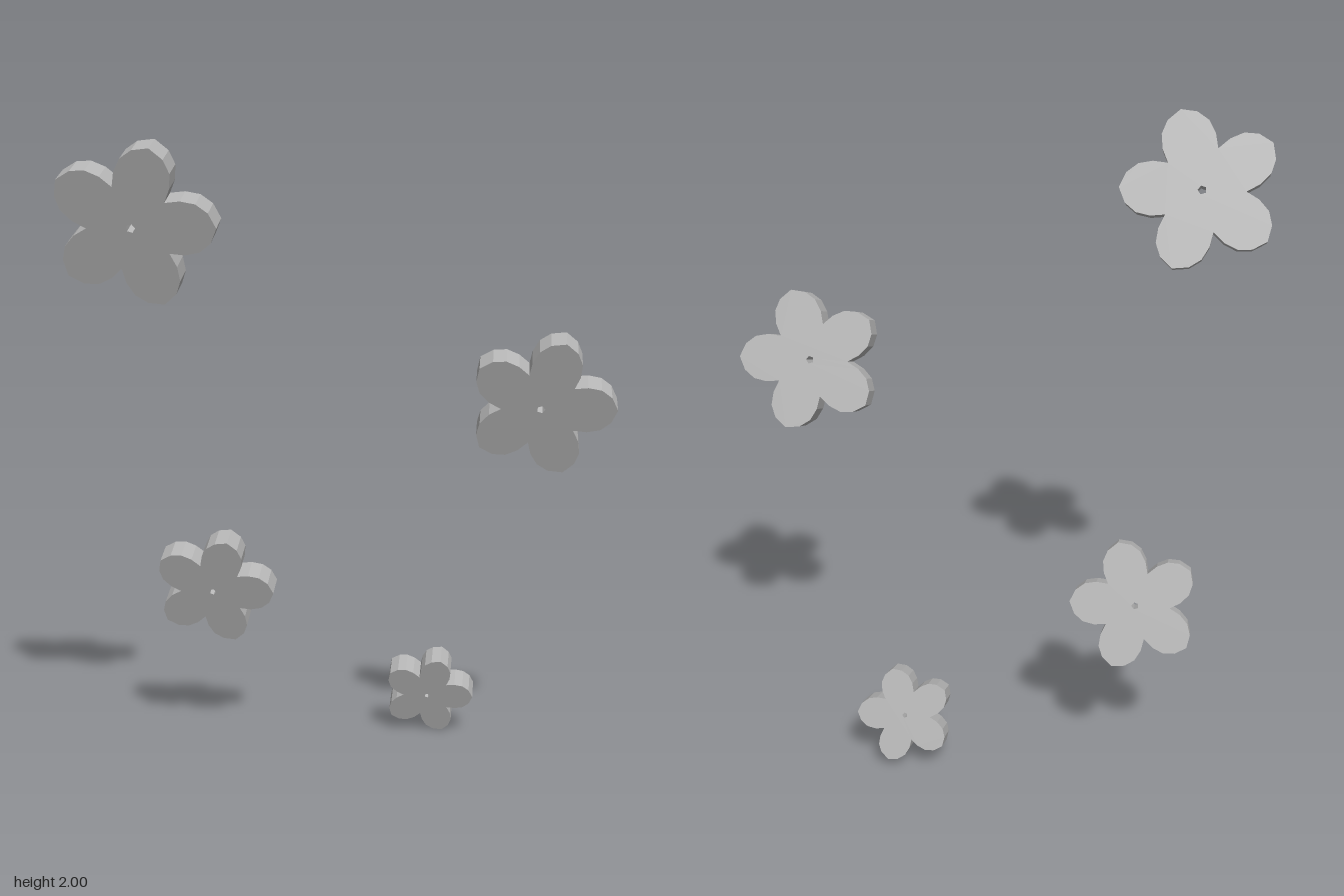
import * as THREE from 'three';

const THICKNESS = 0.085;
const TILT = THREE.MathUtils.degToRad(19.8);

// Outline of one petal pointing along +x: distance along, distance across
const PETAL = [
  [0.109, -0.079], [0.155, -0.084], [0.2, -0.075], [0.235, -0.047], [0.256, 0],
  [0.235, 0.047], [0.2, 0.075], [0.155, 0.084],
];

// Five petals round a tiny centre hole, front face on z = 0
function flowerGeometry(size) {
  const outline = [];
  const hole = [];
  for (let i = 0; i < 5; i++) {
    const a = (i * Math.PI * 2) / 5;
    for (const [u, v] of PETAL) {
      outline.push(new THREE.Vector2(u, v).multiplyScalar(size).rotateAround(new THREE.Vector2(), a));
    }
    hole.push(new THREE.Vector2(Math.cos(a), Math.sin(a)).multiplyScalar(0.014 * size));
  }
  const shape = new THREE.Shape(outline);
  shape.holes.push(new THREE.Path(hole.reverse()));
  const geometry = new THREE.ExtrudeGeometry(shape, { depth: THICKNESS, bevelEnabled: false });
  geometry.translate(0, 0, -THICKNESS);
  return geometry;
}

export function createModel() {
  const model = new THREE.Group();
  model.name = 'flowers';
  const grey = new THREE.MeshStandardMaterial({ color: 0xb4b4b4, flatShading: true });
  grey.name = 'grey';

  // name, size, centre of the front face
  const flowers = [
    ['largestFlower', 1.0, -0.613, 1.743, 0.315],
    ['largeFlower', 0.905, 0.599, 1.196, 0.117],
    ['mediumFlower', 0.805, -0.478, 0.522, -0.129],
    ['smallFlower', 0.605, 0.238, 0.138, -0.264],
  ];
  for (const [name, size, x, y, z] of flowers) {
    const flower = new THREE.Mesh(flowerGeometry(size), grey);
    flower.name = name;
    flower.position.set(x, y, z);
    flower.rotation.x = TILT; // tops lean forward
    model.add(flower);
  }
  return model;
}
